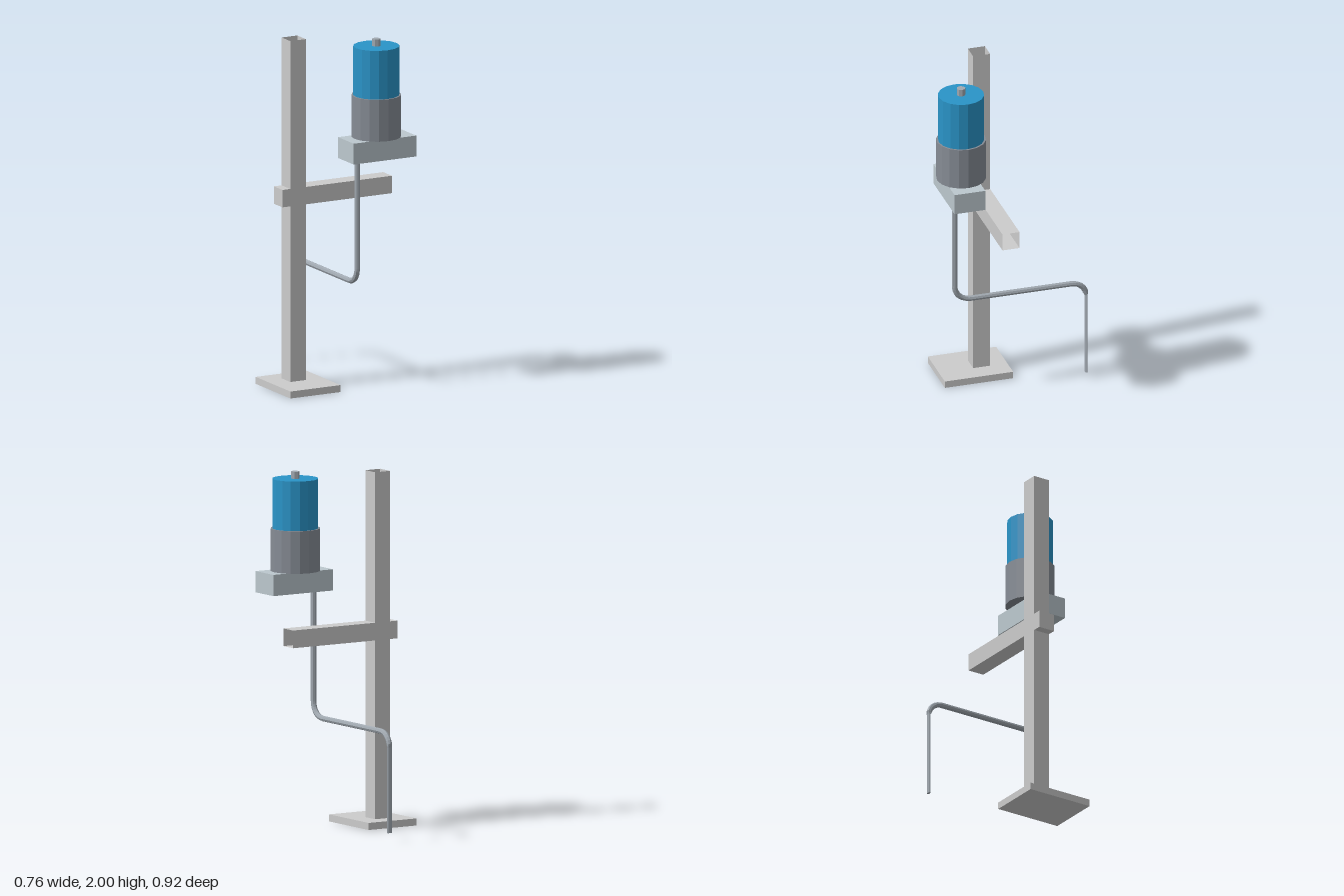
import * as THREE from 'three';

const mat = (color) => new THREE.MeshStandardMaterial({ color, flatShading: true, side: THREE.DoubleSide });

export function createModel() {
  const model = new THREE.Group();
  const grey = mat(0xcccccc), blue = mat(0x2a94c8), iron = mat(0x868c95);
  const casting = mat(0xbcc8ce), steel = mat(0xa0a8b0);

  const add = (name, geometry, material, x = 0, y = 0, z = 0) => {
    const mesh = new THREE.Mesh(geometry, material);
    mesh.name = name;
    mesh.position.set(x, y, z);
    model.add(mesh);
    return mesh;
  };

  // Box with one face left out, as a thin-walled square tube
  // (side order: +x, -x, +y, -y, +z, -z)
  const openBox = (w, h, d, side) => {
    const g = new THREE.BoxGeometry(w, h, d);
    const index = Array.from(g.index.array);
    index.splice(side * 6, 6);
    g.setIndex(index);
    g.clearGroups();
    return g;
  };

  // Stand: floor plate, hollow post and hollow cross arm
  add('basePlate', new THREE.BoxGeometry(0.32, 0.04, 0.4), grey, -0.22, 0.02, 0.14);
  add('post', openBox(0.1, 1.96, 0.1, 2), grey, -0.22, 1.02, 0.09);
  add('crossArm', openBox(0.7, 0.1, 0.1, 0), grey, 0.03, 1.1, 0.09);

  // Motor stacked on its gearbox
  const cylinder = (name, r, y0, y1, sides, material) =>
    add(name, new THREE.CylinderGeometry(r, r, y1 - y0, sides), material, 0.18, (y0 + y1) / 2, 0.32);
  add('gearbox', new THREE.BoxGeometry(0.4, 0.12, 0.18), casting, 0.18, 1.38, 0.33);
  cylinder('motorLower', 0.14, 1.44, 1.68, 16, iron);
  cylinder('motorUpper', 0.13, 1.68, 1.96, 16, blue);
  cylinder('motorShaft', 0.025, 1.96, 2, 8, steel);

  // Bent rod: down, back, down again
  const rodX = 0.058, rodR = 0.016;
  const p = (y, z) => new THREE.Vector3(rodX, y, z);
  const path = new THREE.CurvePath();
  path.add(new THREE.LineCurve3(p(1.32, 0.32), p(0.7, 0.32)));
  path.add(new THREE.CubicBezierCurve3(p(0.7, 0.32), p(0.64, 0.32), p(0.605, 0.28), p(0.605, 0.22)));
  path.add(new THREE.LineCurve3(p(0.605, 0.22), p(0.605, -0.36)));
  path.add(new THREE.CubicBezierCurve3(p(0.605, -0.36), p(0.605, -0.41), p(0.57, -0.45), p(0.52, -0.45)));
  path.add(new THREE.LineCurve3(p(0.52, -0.45), p(0.04, -0.45)));
  const rod = new THREE.TubeGeometry(path, 110, rodR, 8);
  // Flatten the last leg in z
  const pos = rod.attributes.position;
  for (let i = 0; i < pos.count; i++) {
    if (pos.getY(i) < 0.53) pos.setZ(i, -0.45 + (pos.getZ(i) + 0.45) * 0.5);
  }
  rod.computeVertexNormals();
  add('rod', rod, steel);
  const tip = add('rodTip', new THREE.CircleGeometry(rodR, 8), steel, rodX, 0.04, -0.45);
  tip.rotation.x = Math.PI / 2;
  tip.scale.y = 0.5;

  return model;
}
